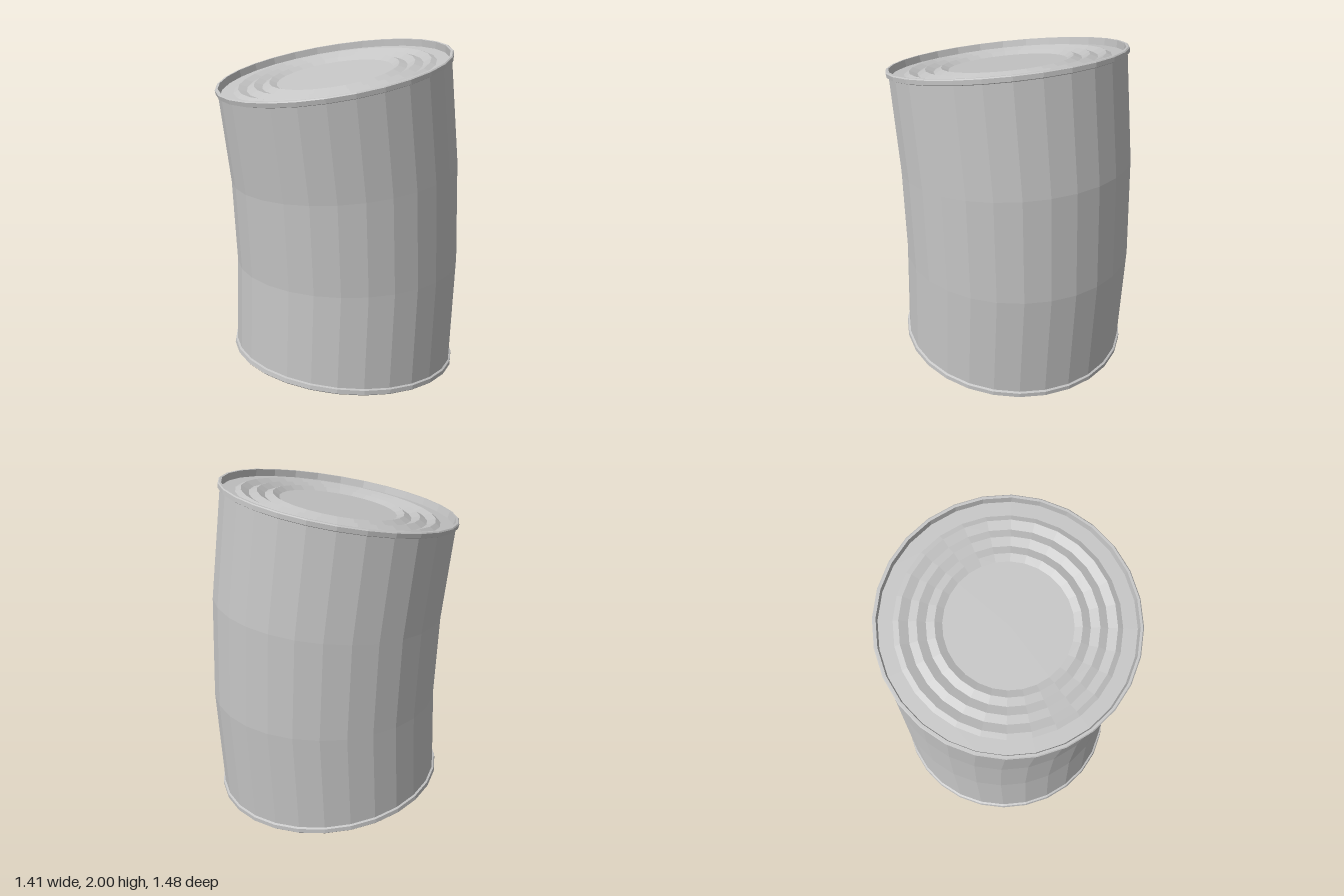
import * as THREE from 'three';

const SIDES = 28;
const BODY_R = 0.688;
const BEND_AXIS = new THREE.Vector3(1, 0, 0.12).normalize();

// Position and tilt of a cross-section along the bent can
function frame(x, y, z, degrees) {
  const turn = new THREE.Quaternion().setFromAxisAngle(BEND_AXIS, THREE.MathUtils.degToRad(degrees));
  return new THREE.Matrix4().compose(new THREE.Vector3(x, y, z), turn, new THREE.Vector3(1, 1, 1));
}

const lathe = (points) =>
  new THREE.LatheGeometry(points.map(([r, y]) => new THREE.Vector2(r, y)), SIDES);

// Rolled rim, recessed lid and three raised concentric beads, from wall to axis
const LID_PROFILE = [
  [BODY_R, -0.036], [0.7, -0.031], [0.702, -0.006], [0.696, 0], [0.683, 0], [0.677, -0.042],
  [0.6, -0.042], [0.57, -0.026], [0.522, -0.046], [0.477, -0.026],
  [0.43, -0.046], [0.385, -0.026], [0.345, -0.046], [0, -0.046],
];

export function createModel() {
  const metal = new THREE.MeshStandardMaterial({ color: 0xc4c4c4, flatShading: true });
  metal.name = 'tin grey';
  const can = new THREE.Group();
  can.name = 'bentTinCan';

  const bottom = frame(0.004, 0.071, -0.02, -5.7);
  const top = frame(-0.004, 1.878, 0.0475, 10);

  function add(name, geometry) {
    geometry.computeVertexNormals();
    const mesh = new THREE.Mesh(geometry, metal);
    mesh.name = name;
    can.add(mesh);
  }

  // Wall: a straight tube whose four rings are moved to the bent stations
  const stations = [
    bottom.clone().multiply(new THREE.Matrix4().makeTranslation(0, 0.03, 0)),
    frame(0.001, 0.69, -0.052, -0.3),
    frame(-0.002, 1.26, -0.03, 4.8),
    top.clone().multiply(new THREE.Matrix4().makeTranslation(0, -0.03, 0)),
  ];
  const wall = lathe(stations.map((_, i) => [BODY_R, i]));
  const pos = wall.attributes.position;
  const v = new THREE.Vector3();
  for (let i = 0; i < pos.count; i++) {
    v.fromBufferAttribute(pos, i);
    const station = stations[Math.round(v.y)];
    v.setY(0).applyMatrix4(station);
    pos.setXYZ(i, v.x, v.y, v.z);
  }
  add('wall', wall);

  // Ends: the same lid profile, mirrored for the bottom
  add('topLid', lathe(LID_PROFILE).applyMatrix4(top));
  const mirrored = LID_PROFILE.map(([r, y]) => [r, -y]).reverse();
  add('bottomLid', lathe(mirrored).applyMatrix4(bottom));

  return can;
}
